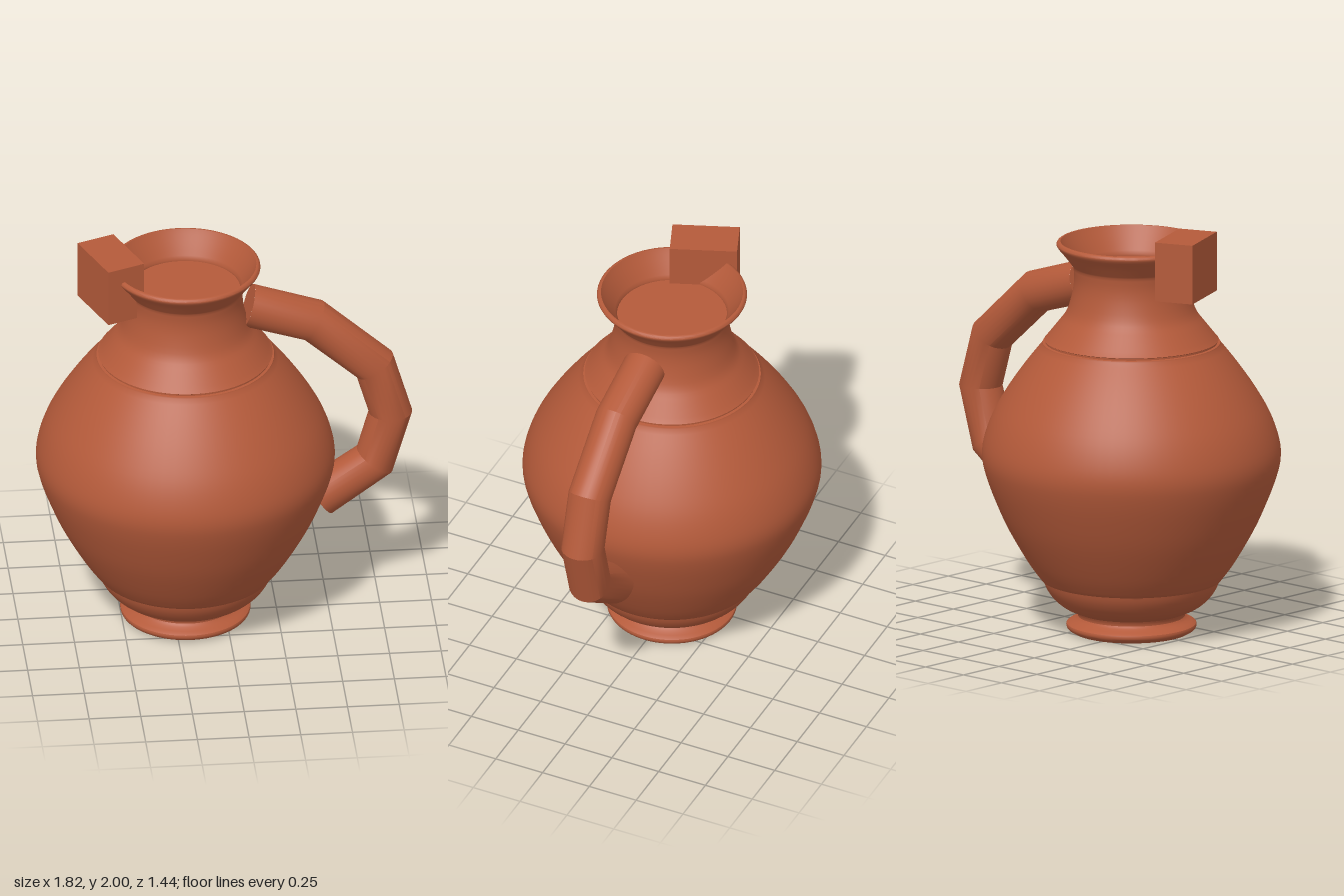
import * as THREE from 'three';
import { toCreasedNormals } from 'three/addons/utils/BufferGeometryUtils.js';

const clay = new THREE.MeshStandardMaterial({ color: 0xb45a3a });
clay.name = 'terracotta';

function addMesh(parent, name, geometry) {
  const mesh = new THREE.Mesh(geometry, clay);
  mesh.name = name;
  parent.add(mesh);
  return mesh;
}

const toVectors = (list) => list.map(([x, y]) => new THREE.Vector2(x, y));
const smooth = (list, steps) => new THREE.SplineCurve(toVectors(list)).getPoints(steps);

// Straight-segmented path whose even parameter steps land on its corners
class CornerPath extends THREE.Curve {
  constructor(points) {
    super();
    this.points = points;
  }
  getPointAt(u) {
    return this.points[Math.round(u * (this.points.length - 1))].clone();
  }
  getTangentAt(u) {
    const p = this.points;
    const i = Math.round(u * (p.length - 1));
    const t = new THREE.Vector3();
    if (i > 0) t.add(p[i].clone().sub(p[i - 1]).normalize());
    if (i < p.length - 1) t.add(p[i + 1].clone().sub(p[i]).normalize());
    return t.normalize();
  }
}

export function createModel() {
  const group = new THREE.Group();
  group.name = 'jug';

  // Foot, belly, shoulder groove, neck, flared lip and shallow mouth floor
  const profile = [
    ...toVectors([[0, 0], [0.28, 0]]),
    ...smooth([[0.295, 0.008], [0.31, 0.02], [0.312, 0.042], [0.28, 0.06], [0.258, 0.078], [0.265, 0.1]], 15),
    ...smooth([[0.275, 0.104], [0.33, 0.13], [0.38, 0.172], [0.412, 0.22], [0.425, 0.256]], 10),
    ...smooth([[0.435, 0.26], [0.5, 0.35], [0.595, 0.515], [0.66, 0.66], [0.703, 0.78], [0.72, 0.87],
      [0.708, 0.96], [0.668, 1.07], [0.6, 1.19], [0.517, 1.31], [0.43, 1.42]], 36),
    ...toVectors([[0.428, 1.426], [0.415, 1.428], [0.415, 1.437], [0.42, 1.44]]),
    ...smooth([[0.415, 1.445], [0.355, 1.52], [0.312, 1.58], [0.285, 1.67], [0.276, 1.74], [0.28, 1.8]], 16),
    ...smooth([[0.285, 1.807], [0.325, 1.86], [0.358, 1.9], [0.36, 1.916], [0.35, 1.925]], 12),
    ...smooth([[0.342, 1.925], [0.33, 1.905], [0.295, 1.85], [0.265, 1.8]], 8),
    ...toVectors([[0.265, 1.79], [0, 1.79]]),
  ];
  const body = addMesh(group, 'body', toCreasedNormals(new THREE.LatheGeometry(profile, 72), 0.6));
  body.position.x = -0.19;

  // Angular handle with closed ends
  const corners = [[0.115, 1.68], [0.43, 1.58], [0.725, 1.32], [0.802, 1.06], [0.725, 0.797], [0.46, 0.61]]
    .map(([x, y]) => new THREE.Vector3(x, y, 0));
  const radius = 0.105;
  const path = new CornerPath(corners);
  const handle = new THREE.Group();
  handle.name = 'handle';
  group.add(handle);
  addMesh(handle, 'handleBar', toCreasedNormals(new THREE.TubeGeometry(path, corners.length - 1, radius, 28), 0.4));
  for (const [name, u, sign] of [['handleUpperEnd', 0, -1], ['handleLowerEnd', 1, 1]]) {
    const cap = addMesh(handle, name, new THREE.CircleGeometry(radius, 28));
    cap.position.copy(path.getPointAt(u));
    cap.quaternion.setFromUnitVectors(new THREE.Vector3(0, 0, 1), path.getTangentAt(u).multiplyScalar(sign));
  }

  // Block-shaped spout on the rim, turned slightly
  const spout = addMesh(group, 'spout', new THREE.BoxGeometry(0.193, 0.29, 0.325));
  spout.position.set(-0.55, 1.855, -0.002);
  spout.rotation.y = 0.38;

  return group;
}
